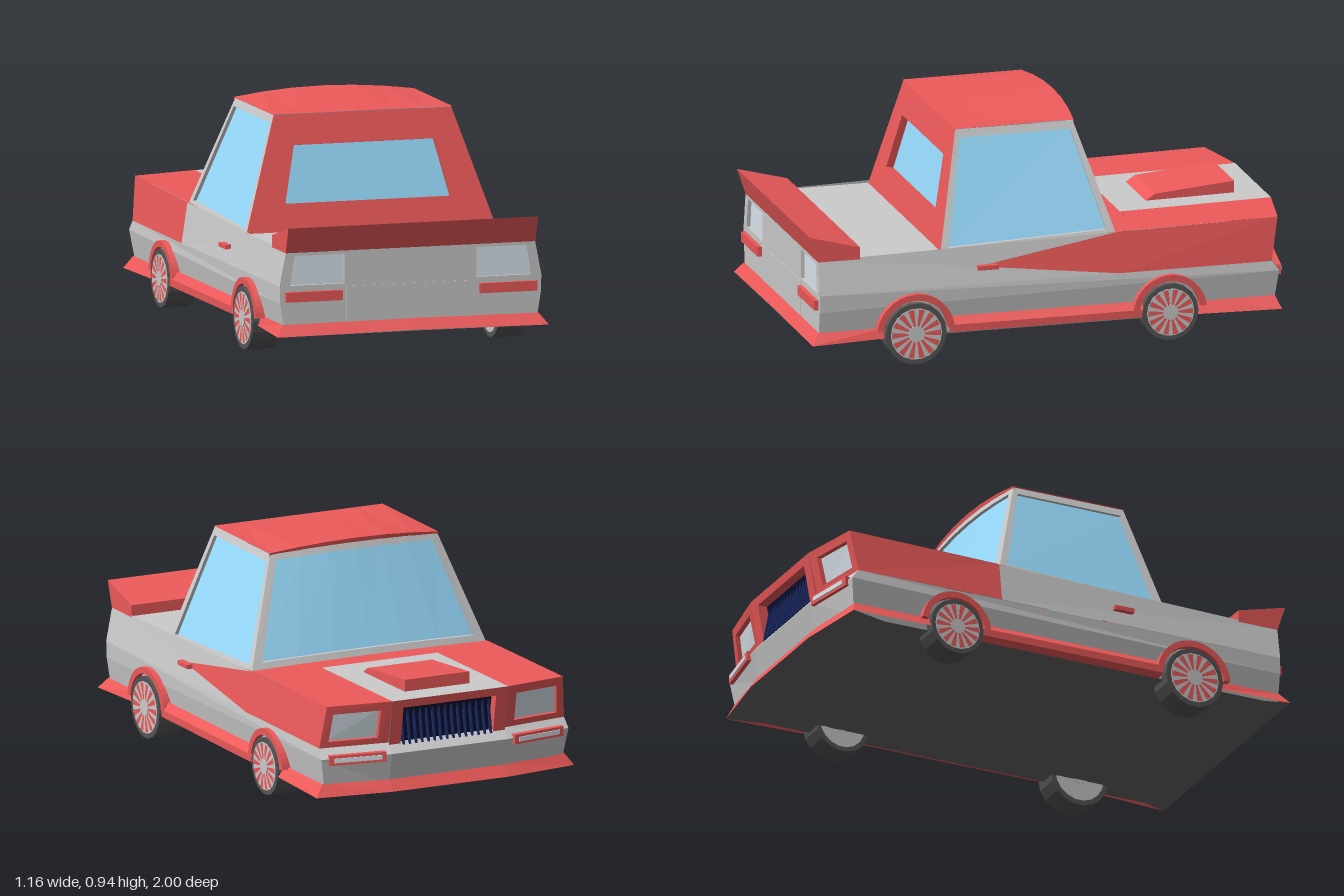
import * as THREE from 'three';

const GREY = 0xcccccc, RED = 0xee5a5a, GLASS = 0x99ddff, LAMP = 0xdde8f0,
  RUBBER = 0x555555, FLOOR = 0x666666, NAVY = 0x0a1030;
const mats = {};
const mat = c => mats[c] ??= new THREE.MeshStandardMaterial({ color: c, flatShading: true, side: THREE.DoubleSide });
const flip = poly => poly.map(([x, y, z]) => [-x, y, z]).reverse();

export function createModel() {
  const car = new THREE.Group();
  car.name = 'car';

  const add = (name, geo, color, x = 0, y = 0, z = 0, parent = car) => {
    const m = new THREE.Mesh(geo, mat(color));
    m.name = name;
    m.position.set(x, y, z);
    parent.add(m);
    return m;
  };
  const box = (name, color, w, h, d, x, y, z, parent) => add(name, new THREE.BoxGeometry(w, h, d), color, x, y, z, parent);

  // Mesh of flat polygons, optionally mirrored across x = 0
  const panel = (name, color, polys, mirror = false) => {
    const pos = [];
    for (const p of mirror ? [...polys, ...polys.map(flip)] : polys)
      for (let i = 1; i < p.length - 1; i++) pos.push(...p[0], ...p[i], ...p[i + 1]);
    const g = new THREE.BufferGeometry();
    g.setAttribute('position', new THREE.Float32BufferAttribute(pos, 3));
    g.computeVertexNormals();
    return add(name, g, color);
  };

  // Four-sided panel (bottom left, bottom right, top right, top left) with a recessed window
  const windowed = (name, c, [u0, u1, v0, v1], frame, pane, inset, o = {}) => {
    const bow = o.bow ?? [0, 0, 0], n = o.n ?? 1;
    const P = (u, v) => [0, 1, 2].map(k =>
      (c[0][k] * (1 - u) + c[1][k] * u) * (1 - v) + (c[3][k] * (1 - u) + c[2][k] * u) * v
      + bow[k] * (1 - (2 * u - 1) ** 2));
    const I = (u, v) => P(u, v).map((a, k) => a + inset[k]);
    const border = [], glass = [];
    const quad = (a, b, d, e) => border.push([P(a, d), P(b, d), P(b, e), P(a, e)]);
    quad(0, u0, 0, 1);
    quad(u1, 1, 0, 1);
    for (let i = 0; i < n; i++) {
      const a = u0 + (u1 - u0) * i / n, b = u0 + (u1 - u0) * (i + 1) / n;
      quad(a, b, 0, v0);
      quad(a, b, v1, 1);
      border.push([P(a, v0), P(b, v0), I(b, v0), I(a, v0)], [P(b, v1), P(a, v1), I(a, v1), I(b, v1)]);
      glass.push([I(a, v0), I(b, v0), I(b, v1), I(a, v1)]);
    }
    border.push([P(u0, v1), P(u0, v0), I(u0, v0), I(u0, v1)], [P(u1, v0), P(u1, v1), I(u1, v1), I(u1, v0)]);
    panel(name + 'Frame', frame, border, o.mirror);
    panel(name + 'Pane', pane, glass, o.mirror);
  };

  // Body sides: grey with a red flash widening toward the nose
  const A = [.525, .45, .965], B = [.552, .31, .965], T = [.54, .38, .3], C = [.53, .475, -.28],
    D = [.555, .31, -.28], F = [.53, .487, -.95], G = [.55, .31, -.92];
  const B2 = [.55, .24, .965], G2 = [.555, .27, -.95], B3 = [.53, .115, .965], G3 = [.53, .115, -.93];
  panel('upperSide', GREY, [[T, C, A, B, D]], true);
  panel('sideFlash', RED, [[T, D, C], [D, G, F, C]], true);
  panel('lowerSide', GREY, [[B, B2, G2, G], [B2, B3, G3, G2]], true);

  // Trunk lid, hood and hood stripe
  panel('trunkLid', GREY, [[A, [.525, .45, .4], [-.525, .45, .4], [-.525, .45, .965]]]);
  panel('hood', RED, [[[0, .48, -.25], [.53, .475, -.25], [.53, .478, -.37], [0, .48, -.37]],
    [[.26, .48, -.37], [.53, .478, -.37], F, [.26, .49, -1]]], true);
  panel('hoodStripe', GREY, [[[-.26, .48, -.37], [.26, .48, -.37], [.26, .49, -1], [-.26, .49, -1]]]);

  // Hood scoop
  const scoop = new THREE.Shape([[.5, .475], [.55, .508], [.88, .537], [.88, .475]].map(p => new THREE.Vector2(...p)));
  const scoopGeo = new THREE.ExtrudeGeometry(scoop, { depth: .29, bevelEnabled: false });
  scoopGeo.rotateY(Math.PI / 2);
  add('hoodScoop', scoopGeo, RED, -.145);

  // Nose: headlights, grille and bumper
  windowed('headlight', [G, [.26, .31, -.96], [.26, .49, -1], F], [.12, .84, .14, .8], RED, LAMP, [0, 0, .02], { mirror: true });
  windowed('grille', [[.26, .29, -.965], [-.26, .29, -.965], [-.26, .49, -1], [.26, .49, -1]],
    [.1, .9, .03, .83], RED, NAVY, [0, 0, .04]);
  for (let i = 0; i < 15; i++)
    box('grilleBar', 0x1a2a66, .008, .16, .012, -.196 + i * .028, .375, -.955).rotation.x = .19;
  panel('frontBumper', GREY, [
    [G, [.26, .31, -.96], [.26, .27, -.995], G2],
    [G2, [.26, .27, -.995], [.26, .14, -.965], G3],
    [[.26, .31, -.96], [0, .31, -.96], [0, .27, -.995], [.26, .27, -.995]],
    [[.26, .27, -.995], [0, .27, -.995], [0, .14, -.965], [.26, .14, -.965]]], true);
  for (const s of [1, -1]) {
    const bar = box('frontMarker', RED, .24, .04, .025, s * .405, .265, -.972);
    bar.rotation.y = -s * .155;
    const lens = box('frontMarkerLens', LAMP, .2, .018, .03, s * .405, .265, -.974);
    lens.rotation.y = -s * .155;
  }

  // Tail: lamps, marker bars and license recess
  windowed('tailLight', [[.27, .3, .965], [.552, .3, .965], A, [.27, .45, .965]], [.03, .85, .08, .88], GREY, LAMP, [0, 0, -.015], { mirror: true });
  panel('tailPanel', GREY, [
    [[0, .3, .965], [.27, .3, .965], [.27, .45, .965], [0, .45, .965]],
    [[0, .115, .965], B3, B2, [.552, .3, .965], [0, .3, .965]]], true);
  box('tailCenter', GREY, .54, .145, .01, 0, .228, .963);
  for (const s of [1, -1]) box('tailMarker', RED, .24, .04, .025, s * .41, .267, .97);

  // Tail spoiler wedge
  const wing = new THREE.Shape([[-.79, .445], [-.79, .495], [-1, .55], [-.965, .445]].map(p => new THREE.Vector2(...p)));
  const wingGeo = new THREE.ExtrudeGeometry(wing, { depth: 1.054, bevelEnabled: false });
  wingGeo.rotateY(Math.PI / 2);
  add('spoiler', wingGeo, RED, -.527);

  // Cabin
  const rb = [.525, .445, .455], rt = [.375, .91, .35], fb = [.525, .475, -.275], ft = [.375, .91, -.14];
  const m = ([x, y, z]) => [-x, y, z];
  windowed('rearWindow', [m(rb), rb, rt, m(rt)], [.14, .86, .25, .74], RED, GLASS, [0, -.005, -.03]);
  windowed('sideWindow', [rb, fb, ft, rt], [.045, .955, .03, .93], GREY, GLASS, [-.015, 0, 0], { mirror: true });
  windowed('windshield', [fb, m(fb), m(ft), ft], [.04, .96, .06, .94], GREY, GLASS, [0, 0, .015], { bow: [0, .012, -.022], n: 6 });
  const roof = [];
  for (let i = 0; i < 6; i++) {
    const [a, b] = [i, i + 1].map(k => {
      const x = -.38 + .76 * k / 6, w = 1 - (x / .38) ** 2;
      return [[x, .912, .352], [x, .914 + .026 * w, -.143 - .022 * w], [x, .895 + .015 * w, -.138 - .022 * w]];
    });
    roof.push([a[0], b[0], b[1], a[1]], [a[1], b[1], b[2], a[2]]);
  }
  panel('roof', RED, roof);

  // Flared skirts wrapped around both ends
  const skirt = (name, path) => {
    const polys = [];
    for (let i = 0; i < path.length - 1; i++) {
      const [p, q] = [path[i], path[i + 1]];
      polys.push([p[0], q[0], q[1], p[1]]);
    }
    panel(name, RED, polys, true);
  };
  skirt('rearSkirt', [[[.54, .155, .69], [.555, .115, .69]], [[.54, .155, .967], [.572, .11, 1]], [[0, .16, .967], [0, .115, 1]]]);
  skirt('frontSkirt', [[[.545, .165, -.6], [.575, .12, -.6]], [[.542, .165, -.935], [.578, .115, -.955]],
    [[.26, .16, -.972], [.26, .115, -1]], [[0, .16, -.972], [0, .115, -1]]]);
  const sill = [[.548, .185], [.575, .155], [.575, .125], [.53, .112]];
  panel('sideSkirt', RED, [0, 1, 2].map(i => {
    const [a, b] = [sill[i], sill[i + 1]];
    return [[...a, .43], [...b, .43], [...b, -.38], [...a, -.38]];
  }), true);
  panel('floor', FLOOR, [[[0, .112, 1], [.572, .11, 1], [.54, .112, .9], [.54, .112, -.8], [.578, .115, -.955], [.26, .115, -1], [0, .115, -1]]], true);

  // Door handles
  for (const s of [1, -1]) box('doorHandle', RED, .025, .018, .085, s * .552, .378, .265);

  // Wheels and arches
  const arch = (r0, r1) => {
    const s = new THREE.Shape();
    s.absarc(0, 0, r1, .12, Math.PI - .12, false);
    s.absarc(0, 0, r0, Math.PI - .12, .12, true);
    const g = new THREE.ExtrudeGeometry(s, { depth: .07, bevelEnabled: false, curveSegments: 10 });
    return g.rotateY(Math.PI / 2);
  };
  for (const [z, y, r] of [[.57, .13, .127], [-.49, .138, .117]]) {
    for (const s of [1, -1]) {
      const wheel = new THREE.Group();
      wheel.name = 'wheel';
      wheel.position.set(s * .52, y, z);
      car.add(wheel);
      add('tyre', new THREE.CylinderGeometry(r, r, .114, 18).rotateZ(Math.PI / 2), RUBBER, 0, 0, 0, wheel);
      add('rim', new THREE.CylinderGeometry(r * .84, r * .84, .118, 18).rotateZ(Math.PI / 2), GREY, 0, 0, 0, wheel);
      for (let i = 0; i < 14; i++) {
        // Narrow red wedge between two grey spokes
        const wedge = new THREE.CircleGeometry(r * .8, 2, -.12, .24);
        wedge.rotateZ(i * Math.PI / 7).rotateY(s * Math.PI / 2);
        add('rimSlot', wedge, RED, s * .0605, 0, 0, wheel);
      }
      add('hub', new THREE.CylinderGeometry(r * .27, r * .27, .125, 12).rotateZ(Math.PI / 2), GREY, 0, 0, 0, wheel);
      add('wheelArch', arch(r + .01, r + .036), RED, s > 0 ? .505 : -.575, y, z);
    }
  }
  return car;
}
